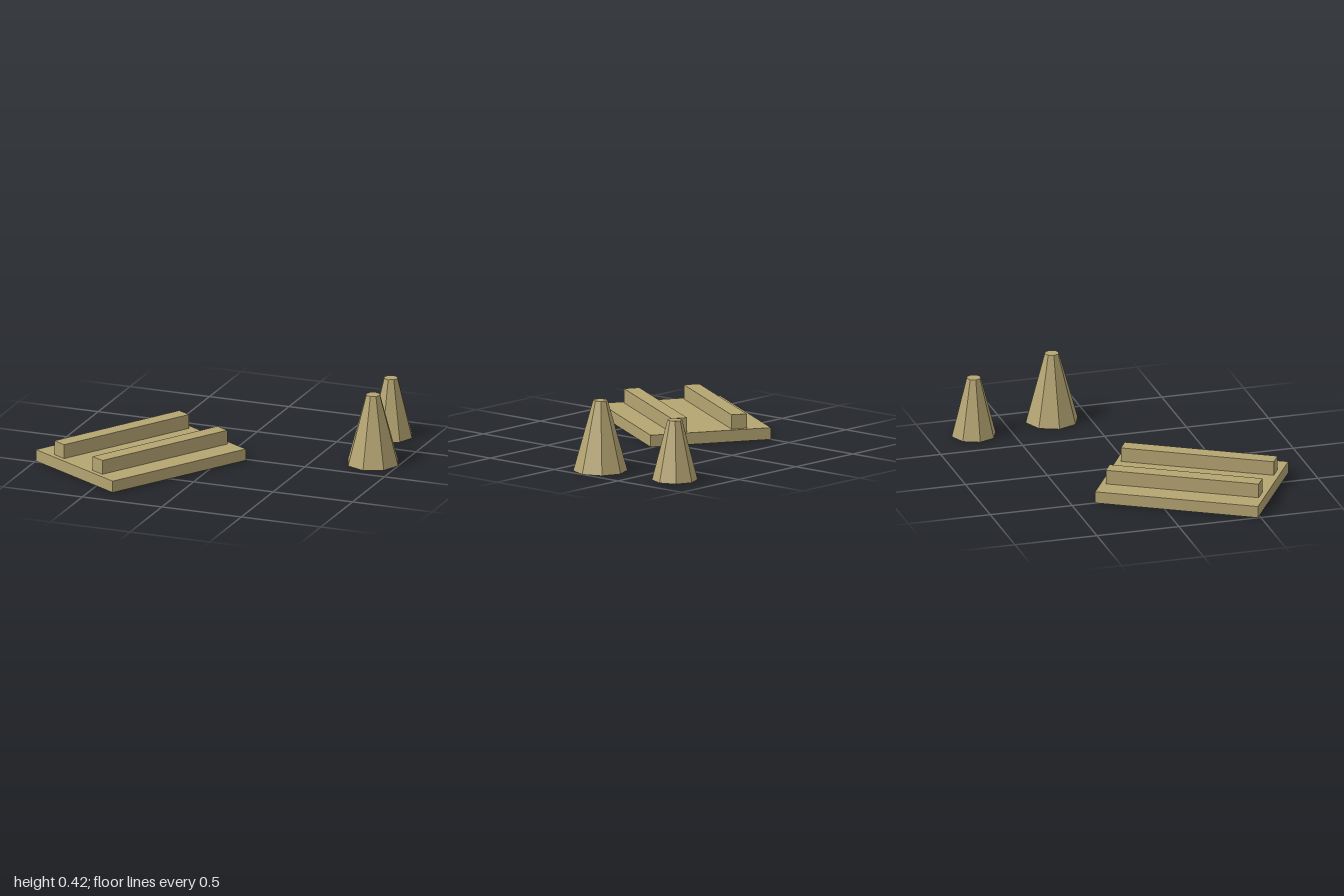
import * as THREE from 'three';

export function createModel() {
  const model = new THREE.Group();
  model.name = 'platformAndCones';
  const sandstone = new THREE.MeshStandardMaterial({ color: 0xb5a572, flatShading: true });
  sandstone.name = 'sandstone';

  const add = (parent, name, geometry, x, y, z) => {
    const mesh = new THREE.Mesh(geometry, sandstone);
    mesh.name = name;
    mesh.position.set(x, y, z);
    parent.add(mesh);
  };

  // Turned platform: a flat slab carrying two long rails
  const platform = new THREE.Group();
  platform.name = 'platform';
  platform.position.set(-0.432, 0, 0.25);
  platform.rotation.y = -0.536;
  model.add(platform);
  add(platform, 'slab', new THREE.BoxGeometry(0.737, 0.07, 0.98), 0, 0.035, 0);
  for (const side of [-1, 1]) {
    add(platform, side < 0 ? 'rightRail' : 'leftRail',
      new THREE.BoxGeometry(0.094, 0.085, 0.92), side * 0.1836, 0.1125, 0);
  }

  // Eight-sided truncated cones
  const cone = (name, radius, height, x, z) =>
    add(model, name, new THREE.CylinderGeometry(0.043, radius, height, 8), x, height / 2, z);
  cone('largeCone', 0.159, 0.42, 0.841, -0.22);
  cone('smallCone', 0.134, 0.357, 0.752, -0.723);

  return model;
}
